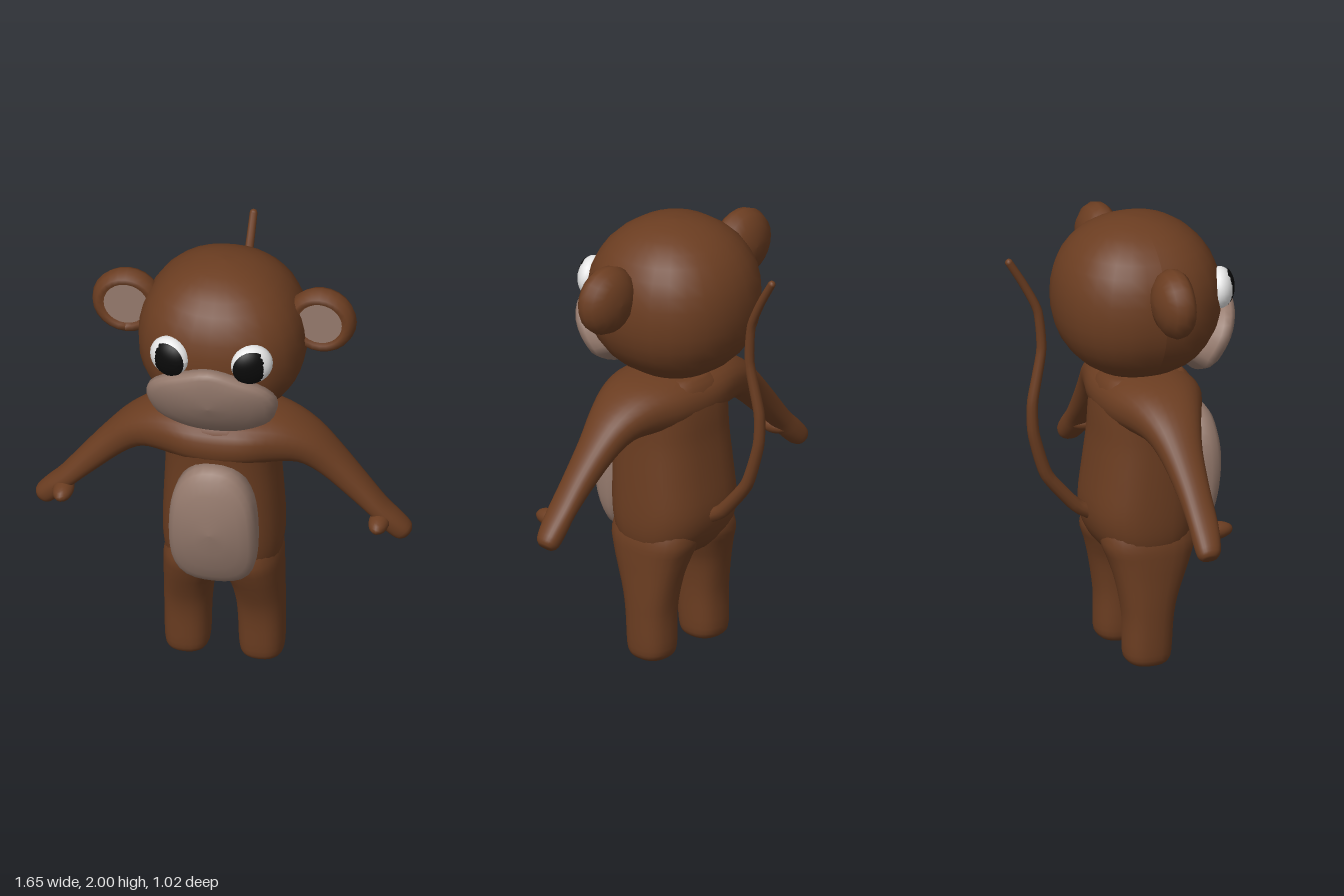
import * as THREE from 'three';

const mat = (name, color) => Object.assign(new THREE.MeshStandardMaterial({ color }), { name });
const V = (x, y, z) => new THREE.Vector3(x, y, z);

// Skin a list of equal-length closed rings into a smooth surface.
function skin(rings) {
  const n = rings[0].length, pos = [], index = [];
  rings.forEach(ring => ring.forEach(p => pos.push(p.x, p.y, p.z)));
  for (let i = 0; i < rings.length - 1; i++) {
    for (let j = 0; j < n; j++) {
      const a = i * n + j, b = i * n + (j + 1) % n;
      index.push(a, a + n, b, b, a + n, b + n);
    }
  }
  const g = new THREE.BufferGeometry();
  g.setAttribute('position', new THREE.Float32BufferAttribute(pos, 3));
  g.setIndex(index);
  g.computeVertexNormals();
  return g;
}

// Loft through sections [x, y, z, radiusX, radiusZ, tilt]; power > 2 squares the section.
function loft(sections, power = 2, n = 24) {
  const centres = new THREE.CatmullRomCurve3(sections.map(s => V(s[0], s[1], s[2])), false, 'catmullrom', 0.5);
  const sizes = new THREE.CatmullRomCurve3(sections.map(s => V(s[3], s[4], s[5] || 0)), false, 'catmullrom', 0.5);
  const steps = (sections.length - 1) * 3, rings = [];
  const ring = (t, k) => {
    const c = centres.getPoint(t), s = sizes.getPoint(t), tilt = THREE.MathUtils.degToRad(s.z);
    return Array.from({ length: n }, (_, j) => {
      const a = j / n * Math.PI * 2;
      const round = v => Math.sign(v) * Math.abs(v) ** (2 / power);
      const u = round(Math.cos(a)) * s.x * k, w = round(Math.sin(a)) * s.y * k;
      return V(c.x + u * Math.cos(tilt), c.y + u * Math.sin(tilt), c.z + w);
    });
  };
  rings.push(ring(0, 0));
  for (let i = 0; i <= steps; i++) rings.push(ring(i / steps, 1));
  rings.push(ring(1, 0));
  return skin(rings);
}

// Raised pad facing +z: half outline from bottom to top, front and back depth rules.
function pad(half, front, back) {
  const mirrored = half.slice(1, -1).reverse().map(([x, y]) => [-x, y]);
  const curve = new THREE.CatmullRomCurve3([...half, ...mirrored].map(([x, y]) => V(x, y, 0)), true, 'catmullrom', 0.5);
  const outline = curve.getSpacedPoints(40).slice(0, 40);
  const midY = (half[0][1] + half[half.length - 1][1]) / 2;
  const steps = [[0, 0], [0.35, 0], [0.65, 0], [0.85, 0.05], [0.95, 0.17], [1, 0.45], [1, 1], [0.8, 1.5]];
  return skin(steps.map(([k, drop]) => outline.map(p => {
    const x = p.x * k, y = midY + (p.y - midY) * k;
    return V(x, y, THREE.MathUtils.lerp(front(x, y), back(x, y), drop));
  })));
}

// Mirror a geometry across x, keeping its faces outward.
function mirror(g) {
  const m = g.clone().scale(-1, 1, 1), ix = m.index.array;
  for (let i = 0; i < ix.length; i += 3) [ix[i], ix[i + 1]] = [ix[i + 1], ix[i]];
  m.computeVertexNormals();
  return m;
}

export function createModel() {
  const brown = mat('brown fur', 0x6b3d21), tan = mat('tan skin', 0x957a6d);
  const white = mat('eye white', 0xf0f0f0), black = mat('pupil black', 0x0a0a0a);
  const model = new THREE.Group();
  model.name = 'monkey';
  const add = (name, g, m) => {
    const mesh = new THREE.Mesh(g, m);
    mesh.name = name;
    model.add(mesh);
  };
  const addPair = (name, g, m) => {
    add('left' + name, g, m);
    add('right' + name, mirror(g), m);
  };

  // Head: a slightly squared ball, broader across the face
  const head = new THREE.SphereGeometry(1, 28, 18), hp = head.attributes.position, power = 2.2;
  for (let i = 0; i < hp.count; i++) {
    const v = V().fromBufferAttribute(hp, i);
    v.divideScalar((Math.abs(v.x) ** power + Math.abs(v.y) ** power + Math.abs(v.z) ** power) ** (1 / power));
    hp.setXYZ(i, v.x * (1 + 0.08 * Math.max(0, v.z)), v.y, v.z);
  }
  head.scale(0.362, 0.355, 0.362).translate(0, 1.645, 0.09);
  head.computeVertexNormals();
  add('head', head, brown);

  // Muzzle wrapped over the lower face
  add('muzzle', pad(
    [[0, 1.29], [0.13, 1.305], [0.25, 1.37], [0.285, 1.49], [0.24, 1.575], [0.12, 1.635], [0, 1.67]],
    (x, y) => 0.51 - 0.8 * x * x - 1.5 * Math.max(0, 1.6 - y) ** 2,
    (x, y) => 0.32 + 0.5 * Math.max(0, y - 1.4)), tan);

  // Ears: domed back, rolled rim and a shallow inner face
  const earProfile = [[0, -0.075], [0.05, -0.072], [0.1, -0.055], [0.138, -0.025], [0.154, 0.01], [0.147, 0.045],
    [0.128, 0.067], [0.107, 0.067], [0.094, 0.052], [0, 0.048]].map(p => new THREE.Vector2(...p));
  const place = (g, x, y, z, yaw = 0) => g.rotateX(Math.PI / 2).rotateY(yaw).translate(x, y, z);
  addPair('Ear', place(new THREE.LatheGeometry(earProfile, 24), 0.425, 1.75, 0.08), brown);
  addPair('InnerEar', new THREE.CircleGeometry(0.097, 24).translate(0.425, 1.75, 0.136), tan);

  // Eyes: flattened balls turned outward, with pupil caps
  const eye = (r, angle, x, z) => place(new THREE.SphereGeometry(r, 24, 12, 0, Math.PI * 2, 0, angle)
    .scale(1, 0.66, 1), x, 1.69, z, 0.36);
  addPair('Eye', eye(0.092, Math.PI, 0.18, 0.41), white);
  addPair('Pupil', eye(0.093, 1.05, 0.172, 0.416), black);

  // Torso from [y, half width, back z, front z]
  const torso = [[0.485, 0.2, -0.05, 0.23], [0.53, 0.24, -0.092, 0.293], [0.6, 0.258, -0.128, 0.322],
    [0.7, 0.262, -0.143, 0.335], [0.85, 0.256, -0.125, 0.335], [1, 0.248, -0.105, 0.335], [1.1, 0.248, -0.098, 0.34],
    [1.18, 0.248, -0.088, 0.345], [1.25, 0.2, -0.07, 0.325], [1.29, 0.12, -0.04, 0.29]];
  add('torso', loft(torso.map(([y, w, b, f]) => [0, y, (b + f) / 2, w, (f - b) / 2]), 2.5, 32), brown);

  // Belly patch
  add('belly', pad(
    [[0, 0.51], [0.12, 0.53], [0.18, 0.62], [0.192, 0.8], [0.17, 0.97], [0.1, 1.08], [0, 1.11]],
    (x, y) => 0.457 - 1.1 * x * x - 0.75 * (y - 0.87) ** 2,
    () => 0.315), tan);

  // Legs from [y, inner x, outer x, back z, front z]
  const leg = [[0, 0.11, 0.22, 0.02, 0.13], [0.015, 0.08, 0.247, -0.012, 0.163], [0.06, 0.065, 0.26, -0.03, 0.18],
    [0.2, 0.06, 0.262, -0.03, 0.19], [0.3, 0.052, 0.262, -0.042, 0.21], [0.4, 0.034, 0.26, -0.062, 0.25],
    [0.48, 0.002, 0.259, -0.085, 0.285], [0.56, -0.02, 0.253, -0.11, 0.308], [0.66, 0, 0.22, -0.09, 0.28]];
  addPair('Leg', loft(leg.map(([y, i, o, b, f]) =>
    [(i + o) / 2, y, (b + f) / 2, (o - i) / 2, (f - b) / 2]), 2.4), brown);

  // Arms and shoulders: one sweep from hand to hand through the chest
  const arm = [[0.13, 1.18, 0.13, 0.128, 0.213, -94], [0.25, 1.172, 0.124, 0.116, 0.172, -106],
    [0.37, 1.135, 0.117, 0.087, 0.125, -119], [0.47, 1.055, 0.115, 0.07, 0.092, -130],
    [0.585, 0.937, 0.118, 0.057, 0.073, -135], [0.68, 0.835, 0.12, 0.046, 0.066, -136],
    [0.735, 0.775, 0.115, 0.049, 0.062, -138], [0.785, 0.722, 0.108, 0.045, 0.052, -138],
    [0.802, 0.703, 0.106, 0.026, 0.032, -138]];
  const otherArm = arm.map(([x, y, z, r, d, tilt]) => [-x, y, z, r, d, -180 - tilt]).reverse();
  add('armsAndShoulders', loft([...otherArm, [0, 1.175, 0.13, 0.135, 0.222, -90], ...arm], 2.25, 28), brown);
  addPair('Thumb', new THREE.SphereGeometry(1, 16, 12).scale(0.046, 0.04, 0.09).translate(0.692, 0.788, 0.165), brown);

  // Tail: a tube tapered towards its tip
  const path = new THREE.CatmullRomCurve3([[0, 0.66, -0.11], [0, 0.71, -0.19], [-0.005, 0.87, -0.325],
    [-0.012, 1.07, -0.388], [-0.012, 1.22, -0.393], [0, 1.45, -0.347], [0.005, 1.63, -0.362],
    [0.012, 1.76, -0.425], [0.015, 1.87, -0.492]].map(p => V(...p)), false, 'catmullrom', 0.3);
  const tail = new THREE.TubeGeometry(path, 40, 0.025, 10);
  const pos = tail.attributes.position, p = V();
  for (let i = 0; i < pos.count; i++) {
    const t = Math.floor(i / 11) / 40, c = path.getPointAt(t);
    p.fromBufferAttribute(pos, i).sub(c).multiplyScalar(1.28 - 0.6 * t).add(c);
    pos.setXYZ(i, p.x, p.y, p.z);
  }
  add('tail', tail, brown);
  add('tailTip', new THREE.SphereGeometry(0.017, 10, 8).translate(0.015, 1.87, -0.492), brown);

  return model;
}
